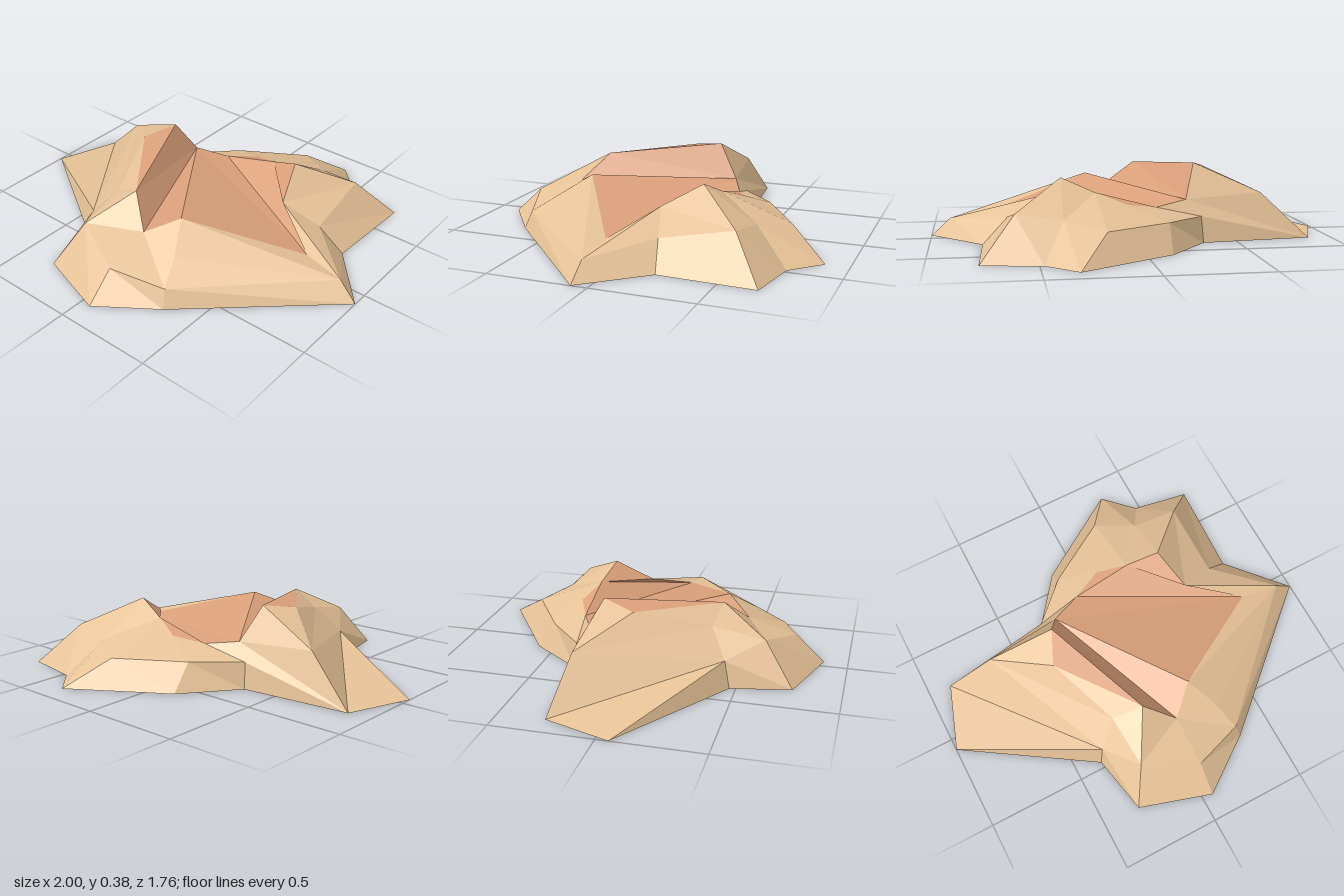
import * as THREE from 'three';

// Low-poly sandy mound with an open underside and a reddish hollow on top.

// Corners shared between the slope and the hollow
const p = {
  // rim of the hollow
  tip: [0.7, 0.125, 0.05], frontPeak: [0.18, 0.275, 0.365], frontNotch: [0.05, 0.205, 0.49],
  crest1: [-0.09, 0.33, 0.385], crest2: [-0.385, 0.35, 0], crest3: [-0.31, 0.38, -0.165],
  back1: [-0.25, 0.21, -0.27], back2: [-0.09, 0.185, -0.34], back3: [0.06, 0.21, -0.405],
  back4: [0.21, 0.265, -0.345], backPeak: [0.37, 0.335, -0.305], backEnd: [0.435, 0.225, -0.115],
  // slope corners used by more than one spoke
  knee: [-0.345, 0.13, 0.44], hip: [-0.24, 0.26, 0.355], shin: [-0.22, 0.205, 0.615],
  toe: [-0.31, 0, 0.765], spur: [-0.885, 0, -0.27], ridge: [-0.645, 0.23, -0.22],
  nose: [0.905, 0.09, 0.07],
};

// Spokes around the mound: foot, shoulder, upper slope, rim
const spokes = [
  [[1, 0, 0.08], p.nose, p.nose, p.tip],
  [[0.335, 0, 0.68], [0.315, 0.09, 0.645], [0.265, 0.175, 0.515], p.frontPeak],
  [[0.055, 0, 0.88], [0.055, 0.135, 0.735], p.frontNotch, p.frontNotch],
  [p.toe, p.shin, p.frontNotch, p.frontNotch],
  [p.toe, p.shin, p.crest1, p.crest1],
  [[-0.37, 0, 0.47], p.knee, p.hip, p.crest1],
  [[-1, 0, 0.06], p.knee, p.hip, p.crest2],
  [p.spur, p.spur, p.ridge, p.crest2],
  [p.spur, p.spur, p.ridge, p.crest3],
  [[-0.33, 0, -0.325], [-0.32, 0.13, -0.31], p.back1, p.back1],
  [[-0.125, 0, -0.59], [-0.125, 0.135, -0.495], p.back2, p.back2],
  [[0.335, 0, -0.885], [0.195, 0.135, -0.69], p.back3, p.back3],
  [[0.48, 0, -0.74], [0.38, 0.17, -0.57], p.back4, p.back4],
  [[0.765, 0, -0.69], [0.6, 0.2, -0.535], p.backPeak, p.backPeak],
  [[0.745, 0, -0.21], [0.62, 0.13, -0.175], p.backEnd, p.backEnd],
];

// Turns a list of triangles into a mesh, every face turned upward
function facets(name, triangles, material) {
  const positions = [];
  for (const [a, b, c] of triangles) {
    if (a === b || b === c || a === c) continue; // spokes that share a corner
    const up = (b[2] - a[2]) * (c[0] - a[0]) - (b[0] - a[0]) * (c[2] - a[2]);
    positions.push(...a, ...(up >= 0 ? [...b, ...c] : [...c, ...b]));
  }
  const geometry = new THREE.BufferGeometry();
  geometry.setAttribute('position', new THREE.Float32BufferAttribute(positions, 3));
  geometry.computeVertexNormals();
  const mesh = new THREE.Mesh(geometry, material);
  mesh.name = name;
  return mesh;
}

// Fan of triangles from the first corner
function fan(...corners) {
  return corners.slice(2).map((c, i) => [corners[0], corners[i + 1], c]);
}

export function createModel() {
  const sand = new THREE.MeshStandardMaterial({ color: 0xe6c297 });
  sand.name = 'sand';
  const clay = new THREE.MeshStandardMaterial({ color: 0xdba07a });
  clay.name = 'clay';
  for (const m of [sand, clay]) {
    m.side = THREE.DoubleSide;
    m.flatShading = true;
  }

  // Outer slope, three bands between neighbouring spokes
  const slope = [];
  spokes.forEach((s, i) => {
    const t = spokes[(i + 1) % spokes.length];
    for (let k = 0; k < 3; k++) slope.push(...fan(s[k], t[k], t[k + 1], s[k + 1]));
  });

  // Hollow: high inner wall, floor and the low wall at the back
  const innerWall = [
    [p.crest3, p.crest2, p.crest1],
    ...fan(p.back1, p.crest3, p.crest1, p.frontNotch, p.frontPeak),
  ];
  const floor = fan(p.back1, p.frontPeak, p.tip, p.back2);
  const backWall = fan(p.back4, p.backPeak, p.backEnd, p.tip, p.back2, p.back3);

  const model = new THREE.Group();
  model.name = 'rockMound';
  model.add(
    facets('outerSlope', slope, sand),
    facets('hollowInnerWall', innerWall, clay),
    facets('hollowFloor', floor, clay),
    facets('hollowBackWall', backWall, clay),
  );
  return model;
}
